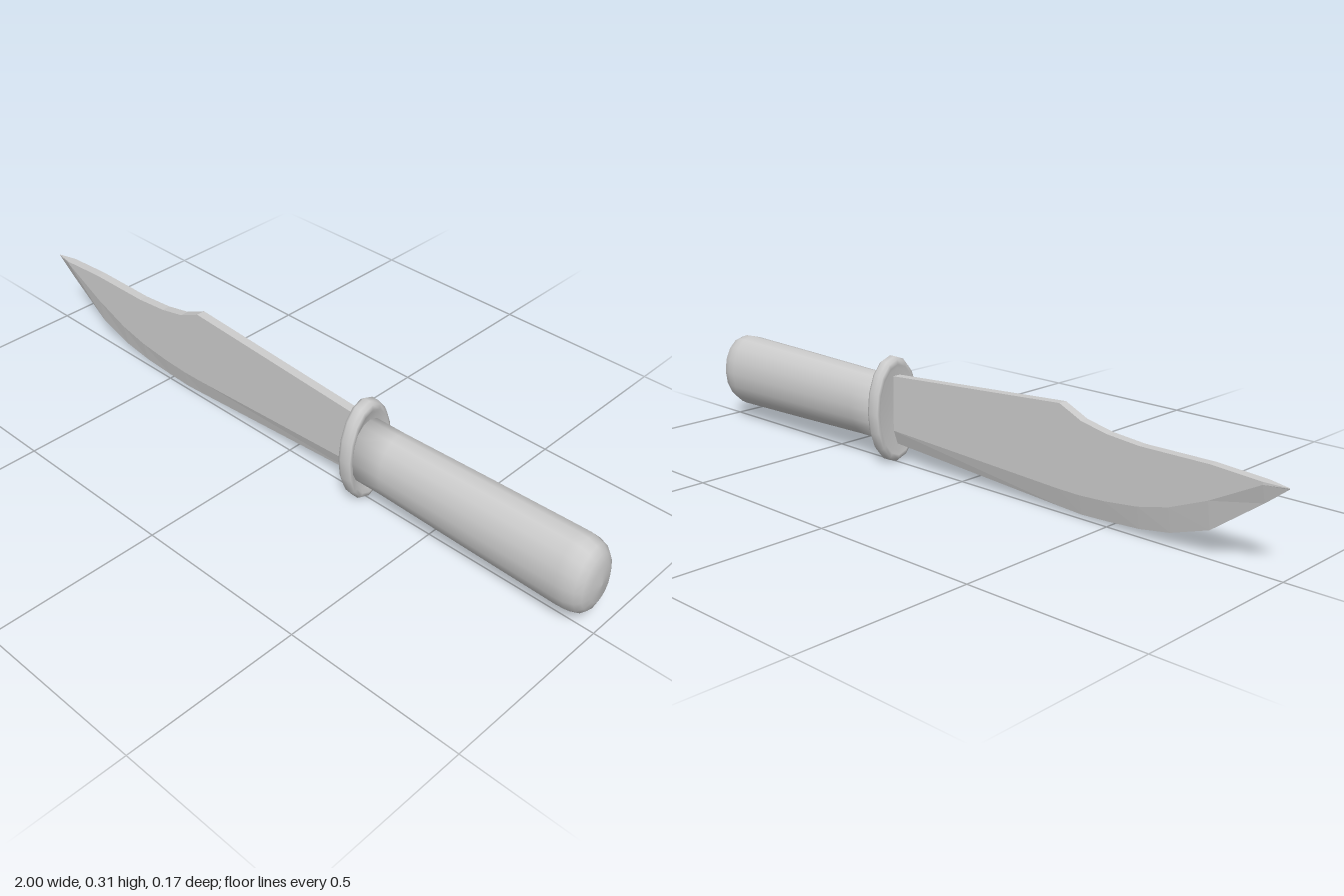
import * as THREE from 'three';

const AXIS_Y = 0.157;
const material = new THREE.MeshStandardMaterial({ color: 0xcccccc });

// Turned part along x with an oval section; profile is [radius factor, x]
function ovalTurned(name, profile, ry, rz) {
  const points = profile.map(([r, x]) => new THREE.Vector2(r, x));
  const geometry = new THREE.LatheGeometry(points, 16);
  geometry.scale(ry, 1, rz);
  geometry.rotateZ(-Math.PI / 2);
  geometry.translate(0, AXIS_Y, 0);
  const mesh = new THREE.Mesh(geometry, material);
  mesh.name = name;
  return mesh;
}

// Blade lofted through sections of [x, spine y, bevel y, edge y, half thickness]
function makeBlade() {
  const sections = [
    [-1, 0.225, 0.224, 0.222, 0.001],
    [-0.94, 0.229, 0.222, 0.175, 0.013],
    [-0.8, 0.238, 0.15, 0.074, 0.013],
    [-0.69, 0.238, 0.106, 0.038, 0.013],
    [-0.6, 0.238, 0.085, 0.024, 0.013],
    [-0.5, 0.247, 0.074, 0.018, 0.013],
    [-0.42, 0.264, 0.07, 0.015, 0.013],
    [-0.35, 0.296, 0.071, 0.019, 0.013],
    [0.27, 0.256, 0.098, 0.058, 0.013],
  ];
  const positions = [];
  const index = [];
  for (const [x, spine, bevel, edge, t] of sections) {
    positions.push(x, spine, t, x, bevel, t, x, edge, 0, x, bevel, -t, x, spine, -t);
  }
  for (let i = 0; i < sections.length - 1; i++) {
    for (let j = 0; j < 5; j++) {
      const a = i * 5 + j, b = i * 5 + (j + 1) % 5;
      index.push(a, b, b + 5, a, b + 5, a + 5);
    }
  }
  // Close the point and the tang end
  const e = (sections.length - 1) * 5;
  for (let j = 1; j < 4; j++) {
    index.push(0, j + 1, j, e, e + j, e + j + 1);
  }
  let geometry = new THREE.BufferGeometry();
  geometry.setAttribute('position', new THREE.Float32BufferAttribute(positions, 3));
  geometry.setIndex(index);
  geometry = geometry.toNonIndexed();
  geometry.computeVertexNormals();
  const mesh = new THREE.Mesh(geometry, material);
  mesh.name = 'blade';
  return mesh;
}

export function createModel() {
  const group = new THREE.Group();
  group.name = 'knife';
  group.add(makeBlade());

  // Oval guard with a rounded rim
  group.add(ovalTurned('guard', [
    [0, 0.258], [0.78, 0.256], [0.86, 0.25], [0.95, 0.253], [1, 0.263],
    [1, 0.282], [0.95, 0.292], [0.86, 0.295], [0.79, 0.288], [0.6, 0.285],
  ], 0.154, 0.083));

  // Grip widening towards a rounded butt
  group.add(ovalTurned('handle', [
    [0, 0.275], [0.89, 0.275], [0.89, 0.38], [0.95, 0.65], [1, 0.92],
    [0.985, 0.945], [0.9, 0.97], [0.75, 0.985], [0.5, 0.995], [0, 1],
  ], 0.11, 0.077));

  return group;
}
